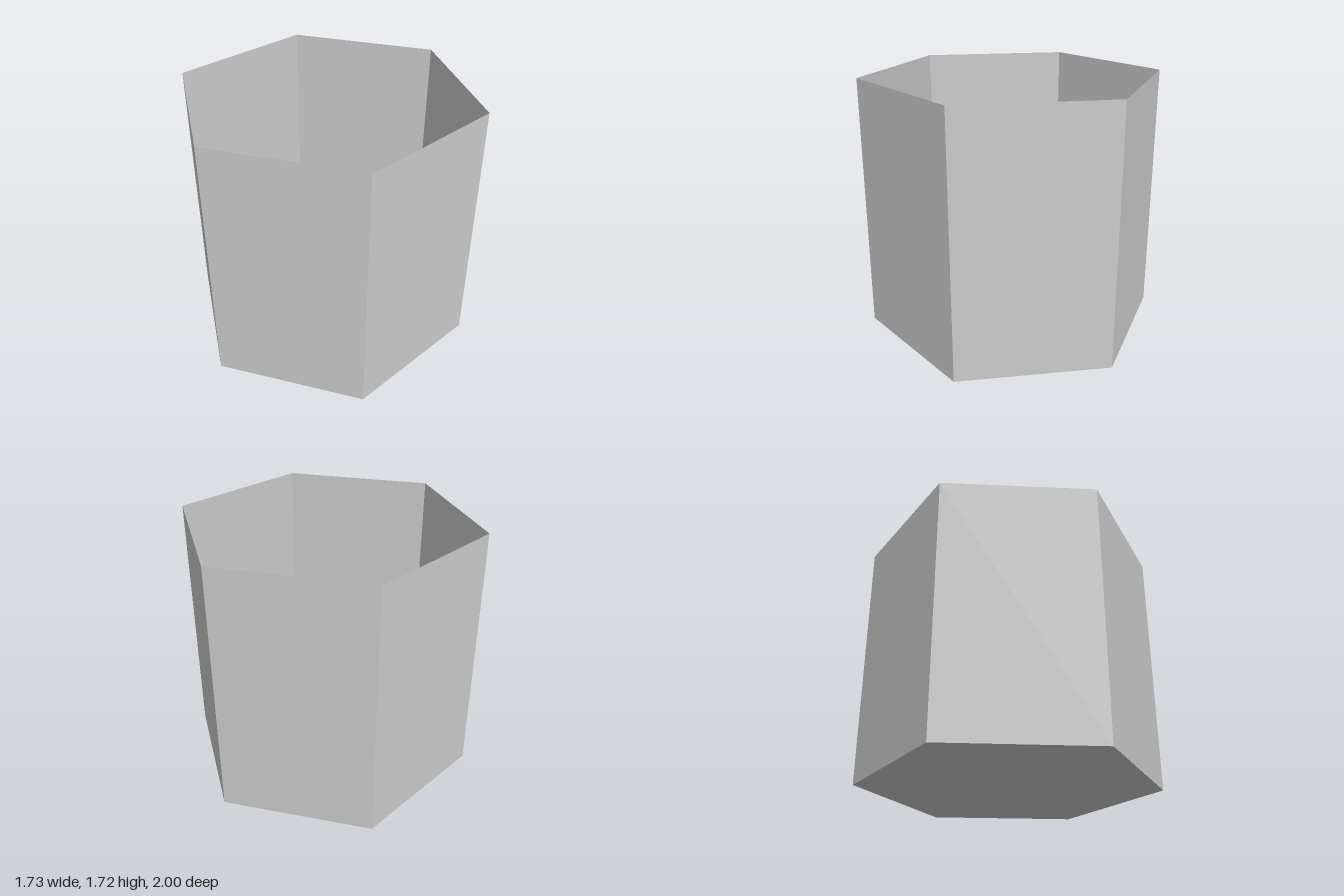
import * as THREE from 'three';

const HEIGHT = 1.72;
const FILL_LEVEL = 0.3;

// Six-sided surface from a [radius, height] profile, with corners on the z axis
function hexSurface(name, profile, color) {
  const points = profile.map(([r, y]) => new THREE.Vector2(r, y));
  const material = new THREE.MeshStandardMaterial({
    color,
    flatShading: true,
    side: THREE.DoubleSide,
  });
  const mesh = new THREE.Mesh(new THREE.LatheGeometry(points, 6), material);
  mesh.name = name;
  return mesh;
}

export function createModel() {
  const group = new THREE.Group();
  group.name = 'hexagonalCell';

  // Thin-walled cell: closed floor, open top
  group.add(hexSurface('cellWalls', [[0, 0], [1, 0], [1, HEIGHT]], 0xcccccc));

  // Golden filling resting on the floor, clear of the walls
  group.add(hexSurface('filling', [[0.917, 0], [0.917, FILL_LEVEL], [0, FILL_LEVEL]], 0xd4bb5f));

  return group;
}
